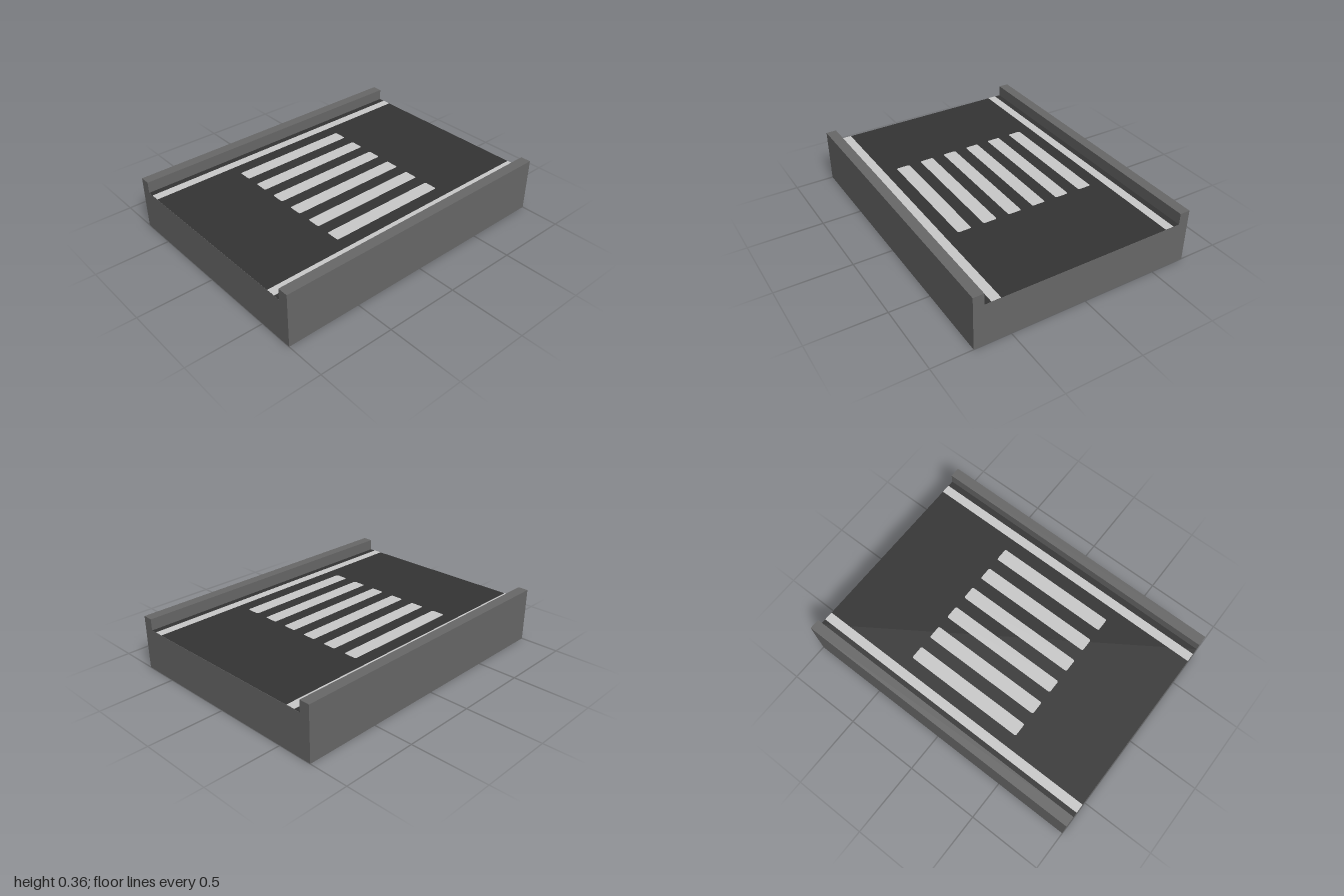
import * as THREE from 'three';

const HALF_DEPTH = 0.737, CURB_INNER = 0.668, HEIGHT = 0.36, ROAD_Y = 0.283;

const material = (name, color) => {
  const m = new THREE.MeshStandardMaterial({ color });
  m.name = name;
  return m;
};

// Flat rectangle with slightly rounded corners, lying face up
function roundedPlate(w, d, r) {
  const s = new THREE.Shape();
  const x = w / 2, y = d / 2;
  s.moveTo(-x + r, -y);
  s.lineTo(x - r, -y);
  s.quadraticCurveTo(x, -y, x, -y + r);
  s.lineTo(x, y - r);
  s.quadraticCurveTo(x, y, x - r, y);
  s.lineTo(-x + r, y);
  s.quadraticCurveTo(-x, y, -x, y - r);
  s.lineTo(-x, -y + r);
  s.quadraticCurveTo(-x, -y, -x + r, -y);
  return new THREE.ShapeGeometry(s, 4).rotateX(-Math.PI / 2);
}

export function createModel() {
  const group = new THREE.Group();
  group.name = 'roadSegment';
  const concrete = material('concrete', 0x686868);
  const asphalt = material('asphalt', 0x343434);
  const paint = material('roadPaint', 0xcacaca);

  const add = (name, geometry, mat, x, y, z) => {
    const mesh = new THREE.Mesh(geometry, mat);
    mesh.name = name;
    mesh.position.set(x, y, z);
    group.add(mesh);
  };

  // Slab with a raised curb along each long side
  const profile = new THREE.Shape([
    [-HALF_DEPTH, 0], [HALF_DEPTH, 0], [HALF_DEPTH, HEIGHT], [CURB_INNER, HEIGHT],
    [CURB_INNER, ROAD_Y], [-CURB_INNER, ROAD_Y], [-CURB_INNER, HEIGHT], [-HALF_DEPTH, HEIGHT],
  ].map(([z, y]) => new THREE.Vector2(z, y)));
  const slab = new THREE.ExtrudeGeometry(profile, { depth: 2, bevelEnabled: false });
  slab.rotateY(-Math.PI / 2).translate(1, 0, 0);
  add('slabWithCurbs', slab, concrete, 0, 0, 0);

  // Road surface
  const road = new THREE.PlaneGeometry(2, CURB_INNER * 2).rotateX(-Math.PI / 2);
  add('roadSurface', road, asphalt, 0, ROAD_Y + 0.0015, 0);

  // Painted line beside each curb
  const line = new THREE.PlaneGeometry(2, 0.06).rotateX(-Math.PI / 2);
  for (const side of [-1, 1]) add('edgeLine', line, paint, 0, ROAD_Y + 0.003, side * 0.596);

  // Crosswalk bars
  const bar = roundedPlate(0.824, 0.091, 0.012);
  for (let i = 0; i < 6; i++) add('crosswalkBar', bar, paint, -0.022, ROAD_Y + 0.003, (i - 2.5) * 0.174);

  return group;
}
